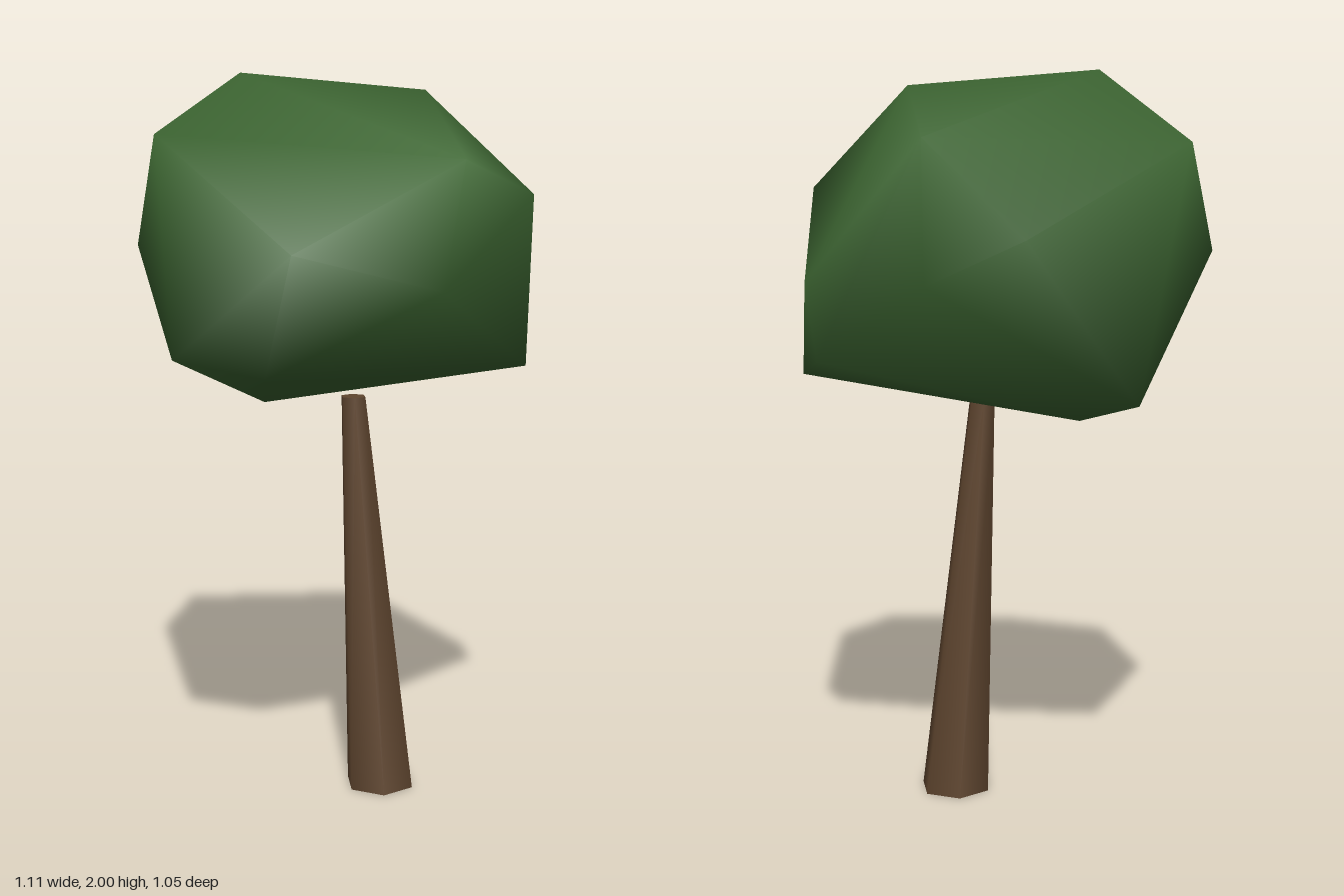
import * as THREE from 'three';
import { ConvexGeometry } from 'three/addons/geometries/ConvexGeometry.js';
import { mergeVertices } from 'three/addons/utils/BufferGeometryUtils.js';

const leafGreen = new THREE.MeshStandardMaterial({ color: 0x3d6632 });
leafGreen.name = 'leafGreen';
const barkBrown = new THREE.MeshStandardMaterial({ color: 0x60462f });
barkBrown.name = 'barkBrown';

// Crown: irregular faceted boulder of leaves, smooth shaded
function makeCrown() {
  const corners = [
    // top
    [0.305, 1.955, 0.02], [-0.15, 2.0, -0.21], [-0.42, 1.84, -0.21],
    [0.405, 1.82, -0.175], [-0.185, 1.81, -0.525], [0.07, 1.785, 0.48],
    // middle
    [0.32, 1.69, 0.455], [-0.36, 1.56, 0.34], [0.30, 1.575, -0.46],
    [-0.345, 1.53, -0.445], [-0.03, 1.465, 0.522], [0.475, 1.46, -0.28],
    [0.465, 1.44, 0.28],
    // bottom
    [-0.555, 1.29, 0.095], [-0.40, 1.25, 0.28], [0.55, 1.25, 0.09],
    [0.495, 1.20, 0.245], [-0.07, 1.14, -0.465], [-0.05, 1.08, -0.255],
  ];
  const hull = new ConvexGeometry(corners.map((c) => new THREE.Vector3(...c)));
  hull.deleteAttribute('normal');
  const geometry = mergeVertices(hull, 1e-4);
  geometry.computeVertexNormals();
  const crown = new THREE.Mesh(geometry, leafGreen);
  crown.name = 'crown';
  return crown;
}

// Trunk: six-sided taper, sheared so that it leans from its base to the crown
function makeTrunk() {
  const height = 1.125;
  const base = [0.115, 0.083];
  const top = [0.065, 0.018];
  const geometry = new THREE.CylinderGeometry(0.036, 0.1, height, 6);
  geometry.rotateY(Math.PI / 6);
  geometry.translate(0, height / 2, 0);
  geometry.applyMatrix4(new THREE.Matrix4().set(
    1, (top[0] - base[0]) / height, 0, base[0],
    0, 1, 0, 0,
    0, (top[1] - base[1]) / height, 1, base[1],
    0, 0, 0, 1,
  ));
  const trunk = new THREE.Mesh(geometry, barkBrown);
  trunk.name = 'trunk';
  return trunk;
}

export function createModel() {
  const tree = new THREE.Group();
  tree.name = 'tree';
  tree.add(makeTrunk(), makeCrown());
  return tree;
}
